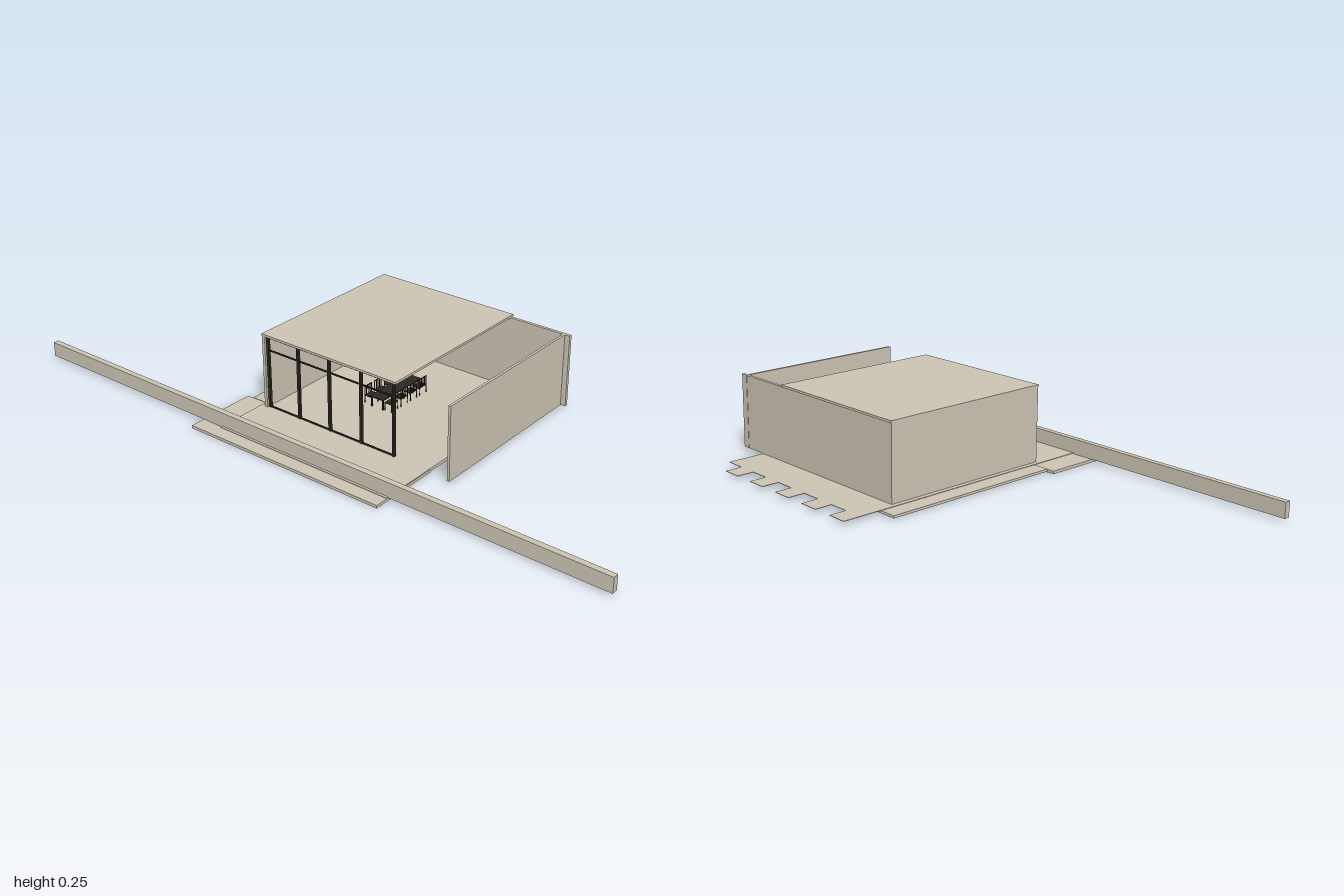
import * as THREE from 'three';

export function createModel() {
  const root = new THREE.Group();
  root.name = 'pavilion';
  const stone = new THREE.MeshStandardMaterial({ color: 0xcbc3b3 });
  stone.name = 'warm stone';
  const dark = new THREE.MeshStandardMaterial({ color: 0x2b2722 });
  dark.name = 'dark metal';

  // Box given by its minimum and maximum corners
  function box(name, x0, x1, y0, y1, z0, z1, parent = root, material = stone) {
    const mesh = new THREE.Mesh(new THREE.BoxGeometry(x1 - x0, y1 - y0, z1 - z0), material);
    mesh.position.set((x0 + x1) / 2, (y0 + y1) / 2, (z0 + z1) / 2);
    mesh.name = name;
    parent.add(mesh);
  }

  // Ground slabs
  box('lowerSlab', -0.47, -0.24, 0, 0.009, -0.34, 0.335);
  box('mainSlab', -0.24, 0.342, 0.003, 0.0105, -0.318, 0.335);

  // Thin paving with a toothed edge
  const outline = [[-0.43, 0.335], [0.413, 0.335]];
  for (let i = 0; i < 5; i++) {
    const z = 0.243 - i * 0.12;
    outline.push([0.413, z + 0.03], [0.467, z + 0.03], [0.467, z - 0.03], [0.413, z - 0.03]);
  }
  outline.push([-0.43, -0.267]);
  const shape = new THREE.Shape(outline.map(([x, z]) => new THREE.Vector2(x, -z)));
  const paving = new THREE.Mesh(
    new THREE.ExtrudeGeometry(shape, { depth: 0.0015, bevelEnabled: false }), stone);
  paving.rotation.x = -Math.PI / 2;
  paving.position.y = 0.0105;
  paving.name = 'paving';
  root.add(paving);

  // Long low wall
  box('gardenWall', -0.423, -0.405, 0.009, 0.055, -1, 1);

  // House walls and roof
  box('backWall', -0.26, 0.283, 0.012, 0.238, -0.253, -0.243);
  box('sideWall', 0.283, 0.293, 0.012, 0.238, -0.253, 0.431);
  box('frontScreen', -0.265, 0.294, 0.012, 0.238, 0.407, 0.415);
  box('roof', -0.26, 0.296, 0.238, 0.245, -0.255, 0.23);

  // Window frame along the open side
  const frame = new THREE.Group();
  frame.name = 'windowFrame';
  root.add(frame);
  for (let i = 0; i < 5; i++) {
    const z = -0.238 + i * 0.114;
    box('windowPost', -0.255, -0.247, 0.012, 0.238, z - 0.004, z + 0.004, frame, dark);
  }
  for (const y of [0.014, 0.195, 0.235]) {
    box('windowRail', -0.253, -0.249, y - 0.002, y + 0.002, -0.242, 0.22, frame, dark);
  }

  // Table with slatted chairs on both sides
  const dining = new THREE.Group();
  dining.name = 'diningSet';
  dining.position.set(0.03, 0, 0.01);
  root.add(dining);
  box('tableTop', -0.1, 0.08, 0.044, 0.047, -0.025, 0.025, dining, dark);
  for (const x of [-0.095, 0.075]) for (const z of [-0.02, 0.02]) {
    box('tableLeg', x - 0.002, x + 0.002, 0.012, 0.044, z - 0.002, z + 0.002, dining, dark);
  }
  for (let i = 0; i < 4; i++) for (const s of [-1, 1]) {
    const chair = new THREE.Group();
    chair.name = 'chair';
    chair.position.set(-0.077 + i * 0.045, 0.012, s * 0.037);
    if (s < 0) chair.rotation.y = Math.PI;
    box('seat', -0.016, 0.016, 0.024, 0.026, -0.013, 0.013, chair, dark);
    box('backTop', -0.016, 0.016, 0.052, 0.055, 0.011, 0.013, chair, dark);
    for (const x of [-0.015, 0.015]) for (const z of [-0.012, 0.012]) {
      box('chairLeg', x - 0.001, x + 0.001, 0, 0.024, z - 0.001, z + 0.001, chair, dark);
    }
    for (let k = -2; k <= 2; k++) {
      const x = k * 0.0075;
      box('backSlat', x - 0.001, x + 0.001, 0.026, 0.052, 0.011, 0.013, chair, dark);
    }
    dining.add(chair);
  }

  return root;
}
